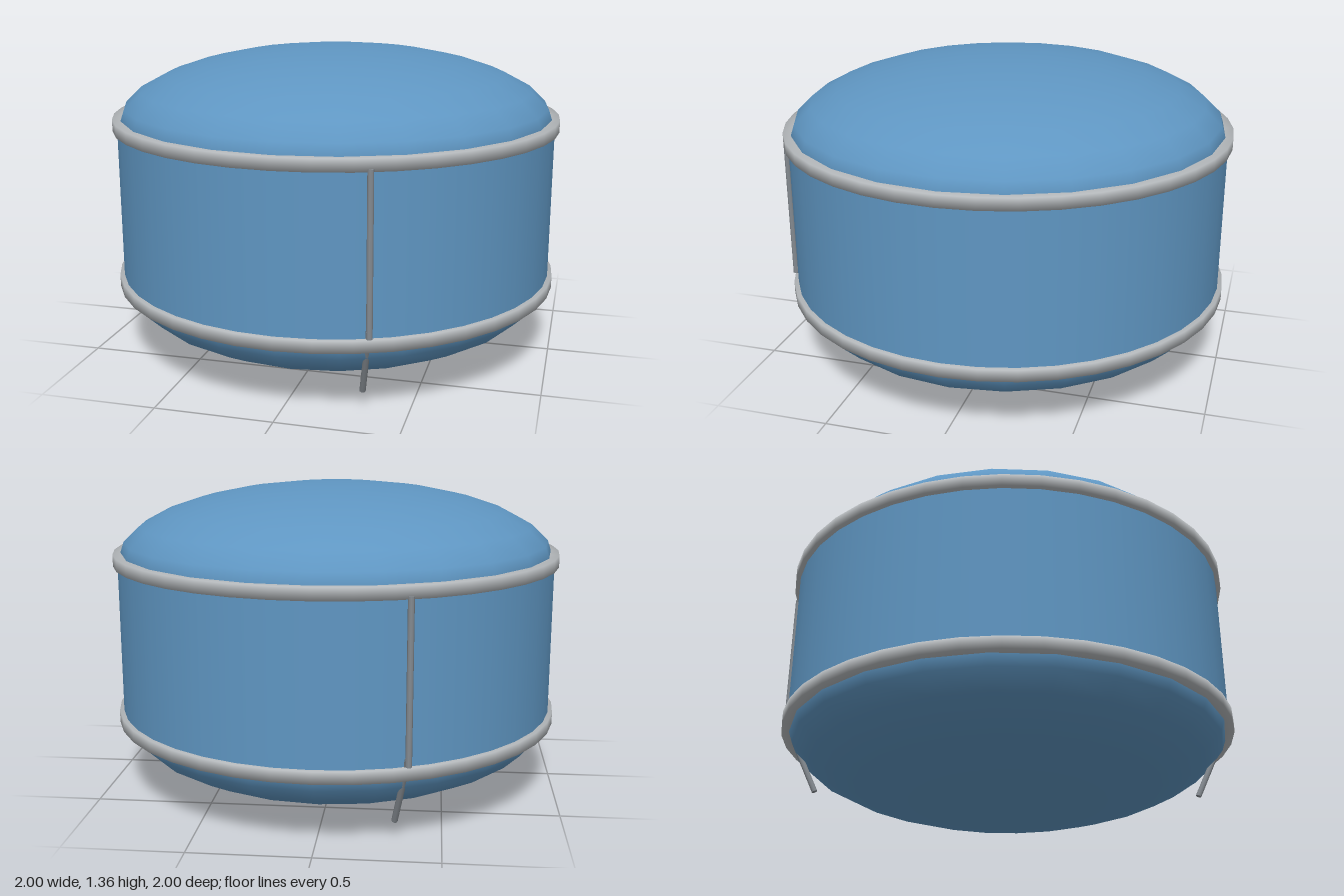
import * as THREE from 'three';

const blue = new THREE.MeshStandardMaterial({ color: 0x5f96c2 });
blue.name = 'blue shell';
const silver = new THREE.MeshStandardMaterial({ color: 0xb4b8bb });
silver.name = 'silver hoop';
const steel = new THREE.MeshStandardMaterial({ color: 0x858b91 });
steel.name = 'steel rod';

const LOW = 0.33, HIGH = 1.04;

function addMesh(parent, name, geometry, material) {
  const mesh = new THREE.Mesh(geometry, material);
  mesh.name = name;
  parent.add(mesh);
  return mesh;
}

// Round bar between two points
function addBar(parent, name, a, b, radius) {
  const dir = b.clone().sub(a);
  const bar = addMesh(parent, name, new THREE.CylinderGeometry(radius, radius, dir.length(), 8), steel);
  bar.position.copy(a).add(b).multiplyScalar(0.5);
  bar.quaternion.setFromUnitVectors(new THREE.Vector3(0, 1, 0), dir.normalize());
}

export function createModel() {
  const model = new THREE.Group();
  model.name = 'drum';

  // Shell wall
  const shell = addMesh(model, 'shell', new THREE.CylinderGeometry(0.98, 0.98, HIGH - LOW, 40), blue);
  shell.position.y = (LOW + HIGH) / 2;

  // Bulging ends, each half of a squashed sphere
  for (const [name, y, start] of [['topDome', HIGH, 0], ['bottomDome', LOW, Math.PI / 2]]) {
    const dome = addMesh(model, name, new THREE.SphereGeometry(0.975, 24, 7, 0, Math.PI * 2, start, Math.PI / 2), blue);
    dome.scale.y = 0.325 / 0.975;
    dome.position.y = y;
  }

  // Hoops with a small square section and softened shading
  const h = 0.026;
  const section = [[0.95, -h], [1, -h], [1, h], [0.95, h]].map(([r, y]) => new THREE.Vector2(r, y));
  for (const [name, y] of [['topHoop', HIGH], ['bottomHoop', LOW]]) {
    addMesh(model, name, new THREE.LatheGeometry(section, 40), silver).position.y = y;
  }

  // Two opposite supports: an upright rod and a foot bent inward
  for (const side of [1, -1]) {
    const support = new THREE.Group();
    support.name = side > 0 ? 'frontSupport' : 'backSupport';
    const point = (x, y, z) => new THREE.Vector3(side * x, y, side * z);
    addBar(support, 'rod', point(0.366, 1.025, 0.925), point(0.366, 0.36, 0.925), 0.013);
    addBar(support, 'foot', point(0.364, 0.39, 0.922), point(0.31, 0.08, 0.787), 0.013);
    model.add(support);
  }
  return model;
}
